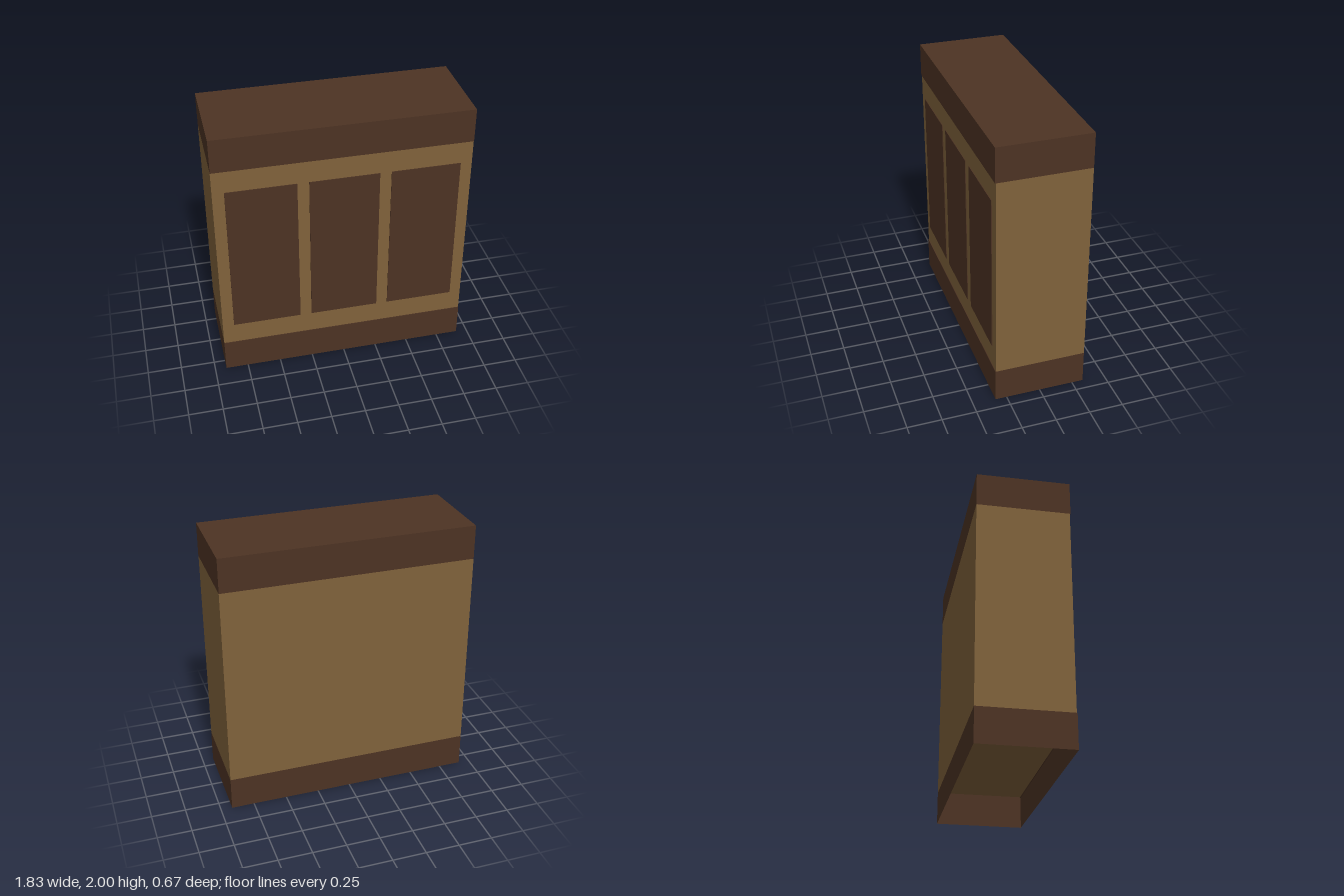
import * as THREE from 'three';

export function createModel() {
  const model = new THREE.Group();
  model.name = 'panelledCounter';

  const darkWood = new THREE.MeshStandardMaterial({ color: 0x4d3323, side: THREE.DoubleSide });
  darkWood.name = 'dark wood';
  const lightWood = new THREE.MeshStandardMaterial({ color: 0x80623b });
  lightWood.name = 'light wood';

  const U = 1 / 12; // module of the design: 22 wide, 24 high, 8 deep
  const W = 22 * U, D = 8 * U, BAND = 3 * U, INSET = 0.005;

  // Box given by its size, bottom height and front face
  function box(name, material, w, h, d, x, bottom, front) {
    const mesh = new THREE.Mesh(new THREE.BoxGeometry(w, h, d), material);
    mesh.name = name;
    mesh.position.set(x, bottom + h / 2, front - d / 2);
    model.add(mesh);
    return mesh;
  }

  // Hollow base: four walls, open below
  const plinth = box('plinth', darkWood, W, BAND, D, 0, 0, D / 2);
  const index = Array.from(plinth.geometry.index.array);
  index.splice(12, 12); // drop top and bottom faces
  plinth.geometry.setIndex(index);
  plinth.geometry.clearGroups();

  // Narrow ledge where the body sits back from the plinth
  box('plinthLedge', darkWood, W, 0.004, INSET, 0, BAND - 0.004, D / 2);

  // Body, slightly set back at the front, and solid top band
  box('body', lightWood, W, 18 * U, D - INSET, 0, BAND, D / 2 - INSET);
  box('topBand', darkWood, W, BAND, D, 0, 21 * U, D / 2);

  // Three raised front panels
  ['rightPanel', 'middlePanel', 'leftPanel'].forEach((name, i) => {
    box(name, darkWood, 6 * U, 14 * U, INSET, (i - 1) * 7 * U, 5 * U, D / 2);
  });

  return model;
}
